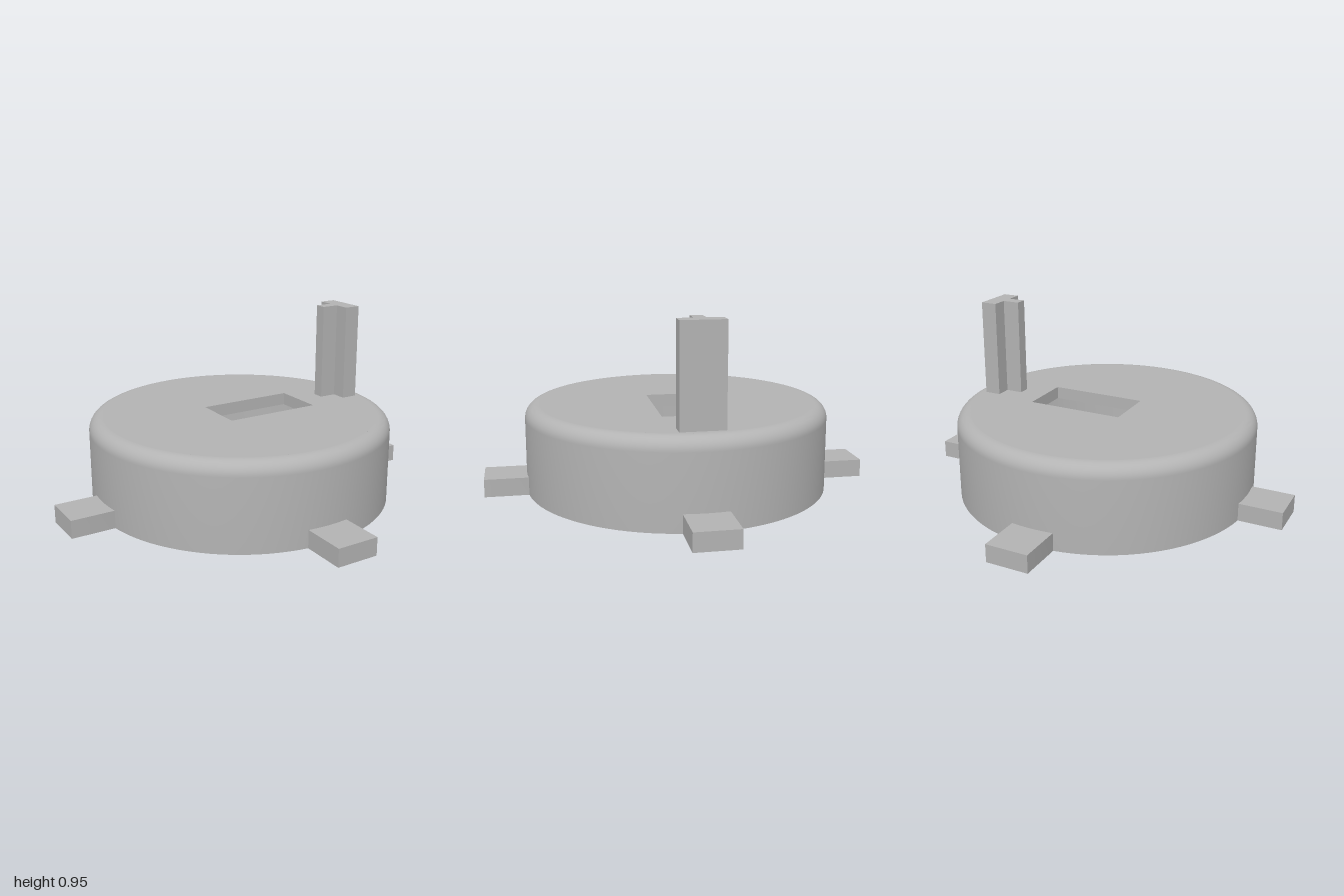
import * as THREE from 'three';
import { toCreasedNormals } from 'three/addons/utils/BufferGeometryUtils.js';

const R = 0.785, INNER = 0.725, TOP = 0.445, CEILING = 0.38, FILLET = 0.07;
const SEGMENTS = 96;

export function createModel() {
  const model = new THREE.Group();
  model.name = 'cap';
  const grey = new THREE.MeshStandardMaterial({ color: 0xb3b3b3 });
  grey.name = 'plain grey';

  const add = (name, geometry) => {
    const mesh = new THREE.Mesh(geometry, grey);
    mesh.name = name;
    model.add(mesh);
    return mesh;
  };

  // Extrudes a plan shape upwards from y0 to y1
  const slab = (shape, y0, y1) => {
    const g = new THREE.ExtrudeGeometry(shape, {
      depth: y1 - y0, bevelEnabled: false, curveSegments: SEGMENTS,
    });
    return toCreasedNormals(g.rotateX(-Math.PI / 2).translate(0, y0, 0), 0.5);
  };
  const polygon = (pts) => new THREE.Shape(pts.map(([x, y]) => new THREE.Vector2(x, y)));

  // Hollow round wall with a rounded upper edge
  const profile = [[R - FILLET, CEILING], [INNER, CEILING], [INNER, 0], [R, 0]]
    .map(([x, y]) => new THREE.Vector2(x, y));
  for (let i = 0; i <= 10; i++) {
    const a = (i / 10) * Math.PI / 2;
    profile.push(new THREE.Vector2(
      R - FILLET + FILLET * Math.cos(a), TOP - FILLET + FILLET * Math.sin(a)));
  }
  add('wall', toCreasedNormals(new THREE.LatheGeometry(profile, SEGMENTS), 0.5));

  // Flat lid with a rectangular slot
  const lid = new THREE.Shape().absarc(0, 0, R - FILLET, 0, Math.PI * 2, false);
  const slot = new THREE.Path();
  slot.moveTo(-0.13, -0.137);
  slot.lineTo(-0.13, 0.137);
  slot.lineTo(0.38, 0.137);
  slot.lineTo(0.38, -0.137);
  slot.closePath();
  lid.holes.push(slot);
  add('lid', slab(lid, CEILING, TOP));

  // Four feet, their inner ends curved to meet the wall
  const half = 0.11;
  const angle = Math.asin(half / R);
  const foot = new THREE.Shape();
  foot.moveTo(1, -half);
  foot.lineTo(1, half);
  foot.lineTo(R * Math.cos(angle), half);
  foot.absarc(0, 0, R - 0.002, angle, -angle, true);
  foot.closePath();
  const footGeometry = slab(foot, 0, 0.092);
  for (let i = 0; i < 4; i++) add('foot', footGeometry).rotation.y = i * Math.PI / 2;

  // Upright post with a T-shaped section
  add('post', slab(polygon([
    [0.515, -0.03], [0.605, -0.03], [0.605, -0.11], [0.69, -0.11],
    [0.69, 0.11], [0.605, 0.11], [0.605, 0.03], [0.515, 0.03],
  ]), TOP, 0.948));

  return model;
}
